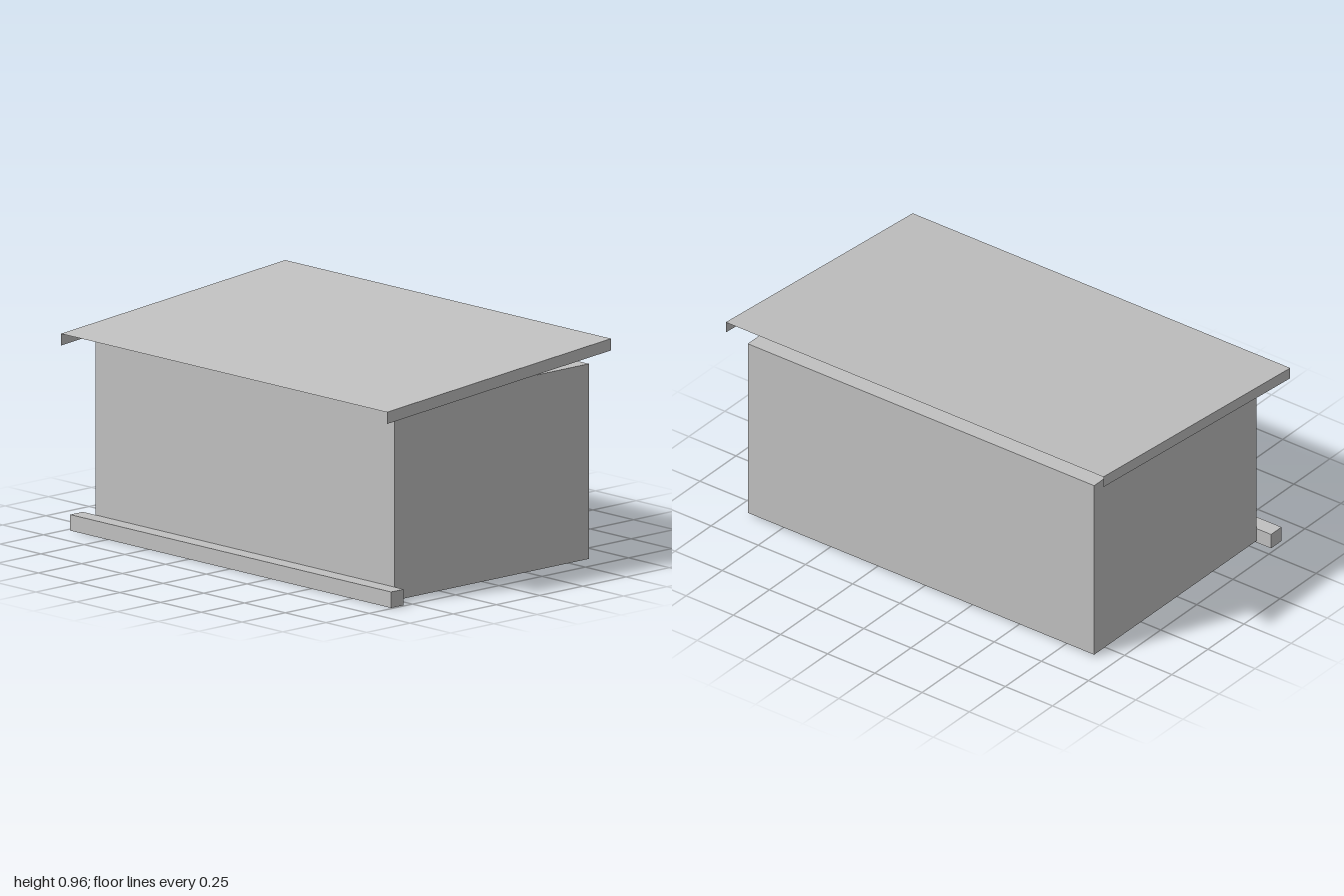
import * as THREE from 'three';

const grey = new THREE.MeshStandardMaterial({ color: 0xc0c0c0 });
grey.name = 'plain grey';
grey.side = THREE.DoubleSide;

// Box given by its lower and upper corners
function block(name, [x0, y0, z0], [x1, y1, z1]) {
  const mesh = new THREE.Mesh(new THREE.BoxGeometry(x1 - x0, y1 - y0, z1 - z0), grey);
  mesh.position.set((x0 + x1) / 2, (y0 + y1) / 2, (z0 + z1) / 2);
  mesh.name = name;
  return mesh;
}

// Flat four-cornered sheet, corners counter-clockwise from outside
function sheet(name, a, b, c, d) {
  const geometry = new THREE.BufferGeometry();
  geometry.setAttribute('position', new THREE.Float32BufferAttribute([a, b, c, a, c, d].flat(), 3));
  geometry.computeVertexNormals();
  const mesh = new THREE.Mesh(geometry, grey);
  mesh.name = name;
  return mesh;
}

export function createModel() {
  const model = new THREE.Group();
  model.name = 'shed';

  // Closed body and the step along its front
  model.add(block('body', [-0.905, 0.01, -0.587], [0.93, 0.853, 0.538]));
  model.add(block('frontStep', [-0.98, 0, 0.541], [0.99, 0.069, 0.614]));

  // Sloping roof sheet, open at front and back, with a skirt down each side
  const depth = 0.648, front = 0.853, back = 0.964, drop = 0.051;
  const roof = new THREE.Group();
  roof.name = 'roof';
  roof.add(sheet('roofSheet',
    [-1, front, depth], [1, front, depth], [1, back, -depth], [-1, back, -depth]));
  for (const side of [1, -1]) {
    const corners = [
      [side, front - drop, depth], [side, back - drop, -depth],
      [side, back, -depth], [side, front, depth],
    ];
    if (side < 0) corners.reverse();
    roof.add(sheet(side > 0 ? 'leftRoofSkirt' : 'rightRoofSkirt', ...corners));
  }
  model.add(roof);
  return model;
}
